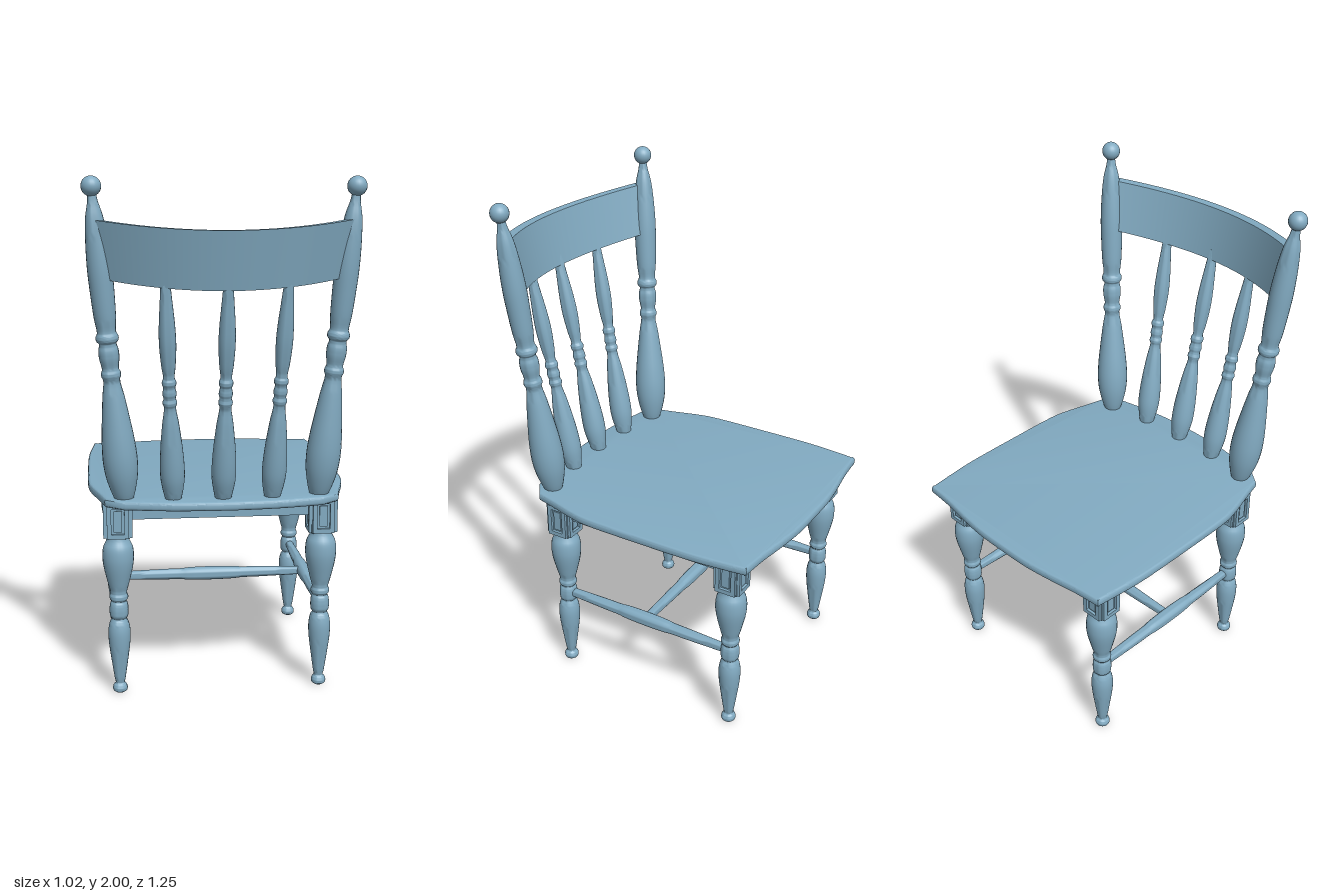
import * as THREE from 'three';
import { toCreasedNormals } from 'three/addons/utils/BufferGeometryUtils.js';

const wood = new THREE.MeshStandardMaterial({ color: 0x82abc2 });

function add(parent, name, geometry) {
  const mesh = new THREE.Mesh(geometry, wood);
  mesh.name = name;
  parent.add(mesh);
  return mesh;
}

// Turned profile: [radius, height] pairs, smoothed and spun, closed at both ends.
function turned(profile, sides = 24) {
  const pts = profile.map(([r, h]) => new THREE.Vector3(r, h, 0));
  const smooth = new THREE.CatmullRomCurve3(pts, false, 'centripetal').getPoints(profile.length * 4);
  const outline = smooth.map((p) => new THREE.Vector2(Math.max(p.x, 0.001), p.y));
  outline.unshift(new THREE.Vector2(0, outline[0].y));
  outline.push(new THREE.Vector2(0, outline[outline.length - 1].y));
  return toCreasedNormals(new THREE.LatheGeometry(outline, sides), 0.9);
}

// Turned part leaning from one point to another; profile heights run from 0 to 1.
function turnedBetween(parent, name, profile, from, to) {
  const a = new THREE.Vector3(...from);
  const axis = new THREE.Vector3(...to).sub(a);
  const length = axis.length();
  const mesh = add(parent, name, turned(profile.map(([r, h]) => [r, h * length])));
  mesh.position.copy(a);
  mesh.quaternion.setFromUnitVectors(new THREE.Vector3(0, 1, 0), axis.normalize());
  return mesh;
}

// Rescales world heights in a profile to the 0..1 range.
const normalise = (profile, y0, y1) => profile.map(([r, y]) => [r, (y - y0) / (y1 - y0)]);

const LEG = [
  [0.016, 0], [0.027, 0.008], [0.029, 0.02], [0.025, 0.031], [0.018, 0.038], [0.021, 0.055],
  [0.032, 0.13], [0.042, 0.21], [0.043, 0.26], [0.036, 0.295], [0.029, 0.308], [0.035, 0.318],
  [0.037, 0.345], [0.034, 0.37], [0.029, 0.38], [0.036, 0.39], [0.036, 0.402], [0.032, 0.412],
  [0.041, 0.45], [0.057, 0.52], [0.061, 0.56], [0.057, 0.6], [0.043, 0.63], [0.038, 0.65],
];
const POST = [
  [0.032, 0.8], [0.046, 0.84], [0.06, 0.9], [0.065, 0.96], [0.062, 1.03], [0.052, 1.12],
  [0.04, 1.21], [0.031, 1.27], [0.036, 1.283], [0.036, 1.297], [0.031, 1.31], [0.037, 1.35],
  [0.037, 1.38], [0.032, 1.405], [0.041, 1.417], [0.041, 1.432], [0.035, 1.445], [0.04, 1.5],
  [0.044, 1.6], [0.045, 1.68], [0.04, 1.78], [0.031, 1.86], [0.019, 1.91], [0.015, 1.94],
];
const SPINDLE = [
  [0.028, 0.8], [0.037, 0.84], [0.045, 0.89], [0.046, 0.94], [0.041, 1.02], [0.031, 1.11],
  [0.022, 1.175], [0.026, 1.186], [0.026, 1.196], [0.022, 1.206], [0.026, 1.225], [0.022, 1.25],
  [0.026, 1.26], [0.026, 1.272], [0.021, 1.283], [0.026, 1.33], [0.031, 1.41], [0.029, 1.48],
  [0.022, 1.57], [0.016, 1.65],
];
const STRETCHER = [
  [0.017, 0], [0.019, 0.1], [0.022, 0.25], [0.023, 0.34], [0.026, 0.38], [0.028, 0.5],
  [0.026, 0.62], [0.023, 0.66], [0.022, 0.75], [0.019, 0.9], [0.017, 1],
];

// Rectangle outline around the origin.
function rectangle(Type, w, h) {
  return new Type([[-w, -h], [w, -h], [w, h], [-w, h]].map(([x, y]) => new THREE.Vector2(x / 2, y / 2)));
}

// Square leg head with a framed panel on each face.
function legBlock() {
  const block = new THREE.Group();
  block.name = 'legBlock';
  add(block, 'blockCore', new THREE.BoxGeometry(0.09, 0.142, 0.09));
  const frame = rectangle(THREE.Shape, 0.084, 0.135);
  frame.holes.push(rectangle(THREE.Path, 0.05, 0.1));
  const frameGeo = new THREE.ExtrudeGeometry(frame, { depth: 0.011, bevelEnabled: false });
  const panelGeo = new THREE.BoxGeometry(0.032, 0.082, 0.012);
  for (let i = 0; i < 4; i++) {
    const face = new THREE.Group();
    face.name = 'blockFace';
    add(face, 'panelFrame', frameGeo).position.z = 0.045;
    add(face, 'raisedPanel', panelGeo).position.z = 0.045;
    face.rotation.y = (i * Math.PI) / 2;
    block.add(face);
  }
  return block;
}

// Seat board with bowed front and back, tapering towards the back rest.
function seatGeometry() {
  const v = (x, y) => new THREE.Vector2(x, y);
  const s = new THREE.Shape();
  s.moveTo(-0.485, -0.582);
  s.splineThru([v(-0.37, -0.592), v(-0.25, -0.61), v(-0.13, -0.623), v(0, -0.625),
    v(0.13, -0.623), v(0.25, -0.61), v(0.37, -0.592), v(0.485, -0.582)]);
  s.splineThru([v(0.498, -0.47), v(0.508, -0.34), v(0.51, -0.1), v(0.508, 0.1), v(0.495, 0.19),
    v(0.465, 0.3), v(0.445, 0.38)]);
  s.lineTo(0.38, 0.43);
  s.splineThru([v(0.2, 0.462), v(0, 0.473), v(-0.2, 0.462), v(-0.38, 0.43)]);
  s.lineTo(-0.445, 0.38);
  s.splineThru([v(-0.465, 0.3), v(-0.495, 0.19), v(-0.508, 0.1), v(-0.51, -0.1), v(-0.508, -0.34),
    v(-0.498, -0.47), v(-0.485, -0.582)]);
  const geo = new THREE.ExtrudeGeometry(s, {
    depth: 0.013, bevelThickness: 0.011, bevelSize: 0.011, bevelOffset: -0.011, bevelSegments: 3, curveSegments: 32,
  });
  geo.rotateX(Math.PI / 2);
  geo.translate(0, 0.803, 0);
  return toCreasedNormals(geo, 0.6);
}

// Crest rail: a box bowed in plan, leaning back and widening upwards.
function crestGeometry() {
  const geo = new THREE.BoxGeometry(2, 1, 1, 32, 1, 1);
  const p = geo.attributes.position;
  for (let i = 0; i < p.count; i++) {
    const u = p.getX(i), h = p.getY(i) + 0.5, t = (p.getZ(i) + 0.5) * 0.036;
    const half = 0.42 + 0.035 * h;
    const bow = 0.13 + 0.015 * h;
    const slope = Math.atan((2 * bow * u) / half);
    p.setXYZ(i,
      u * half + t * Math.sin(slope),
      1.613 + 0.203 * h + 0.033 * u * u - 0.2 * t * (1 - h),
      0.545 + 0.041 * h - bow * u * u + t * Math.cos(slope));
  }
  return toCreasedNormals(geo, 0.6);
}

export function createModel() {
  const chair = new THREE.Group();
  chair.name = 'chair';
  const legX = 0.397, backZ = 0.295, frontZ = -0.477, midZ = (backZ + frontZ) / 2;

  add(chair, 'seat', seatGeometry());

  // Legs, blocks and side parts, mirrored left and right
  const legGeo = turned(LEG);
  for (const side of [-1, 1]) {
    for (const z of [frontZ, backZ]) {
      add(chair, z < 0 ? 'frontLeg' : 'backLeg', legGeo).position.set(side * legX, 0, z);
      const block = legBlock();
      block.position.set(side * legX, 0.712, z);
      chair.add(block);
    }
    add(chair, 'sideApron', new THREE.BoxGeometry(0.03, 0.075, backZ - frontZ - 0.06))
      .position.set(side * legX, 0.747, midZ);
    turnedBetween(chair, 'sideStretcher', STRETCHER, [side * legX, 0.347, frontZ], [side * legX, 0.347, backZ]);

    // Back post with ball finial
    turnedBetween(chair, 'backPost', normalise(POST, 0.8, 1.94),
      [side * 0.37, 0.8, 0.362], [side * 0.47, 1.94, 0.456]);
    add(chair, 'postFinial', new THREE.SphereGeometry(0.036, 24, 16)).position.set(side * 0.472, 1.964, 0.458);
  }

  // Front and back aprons, cross stretcher
  for (const z of [frontZ, backZ]) {
    add(chair, 'crossApron', new THREE.BoxGeometry(2 * legX - 0.06, 0.075, 0.03)).position.set(0, 0.747, z);
  }
  turnedBetween(chair, 'crossStretcher', STRETCHER, [-legX, 0.347, midZ], [legX, 0.347, midZ]);

  // Back rest
  add(chair, 'crestRail', crestGeometry());
  for (const i of [-1, 0, 1]) {
    turnedBetween(chair, 'backSpindle', normalise(SPINDLE, 0.8, 1.65),
      [i * 0.187, 0.8, 0.395 - Math.abs(i) * 0.005], [i * 0.22, 1.65, 0.568 - Math.abs(i) * 0.033]);
  }
  return chair;
}
